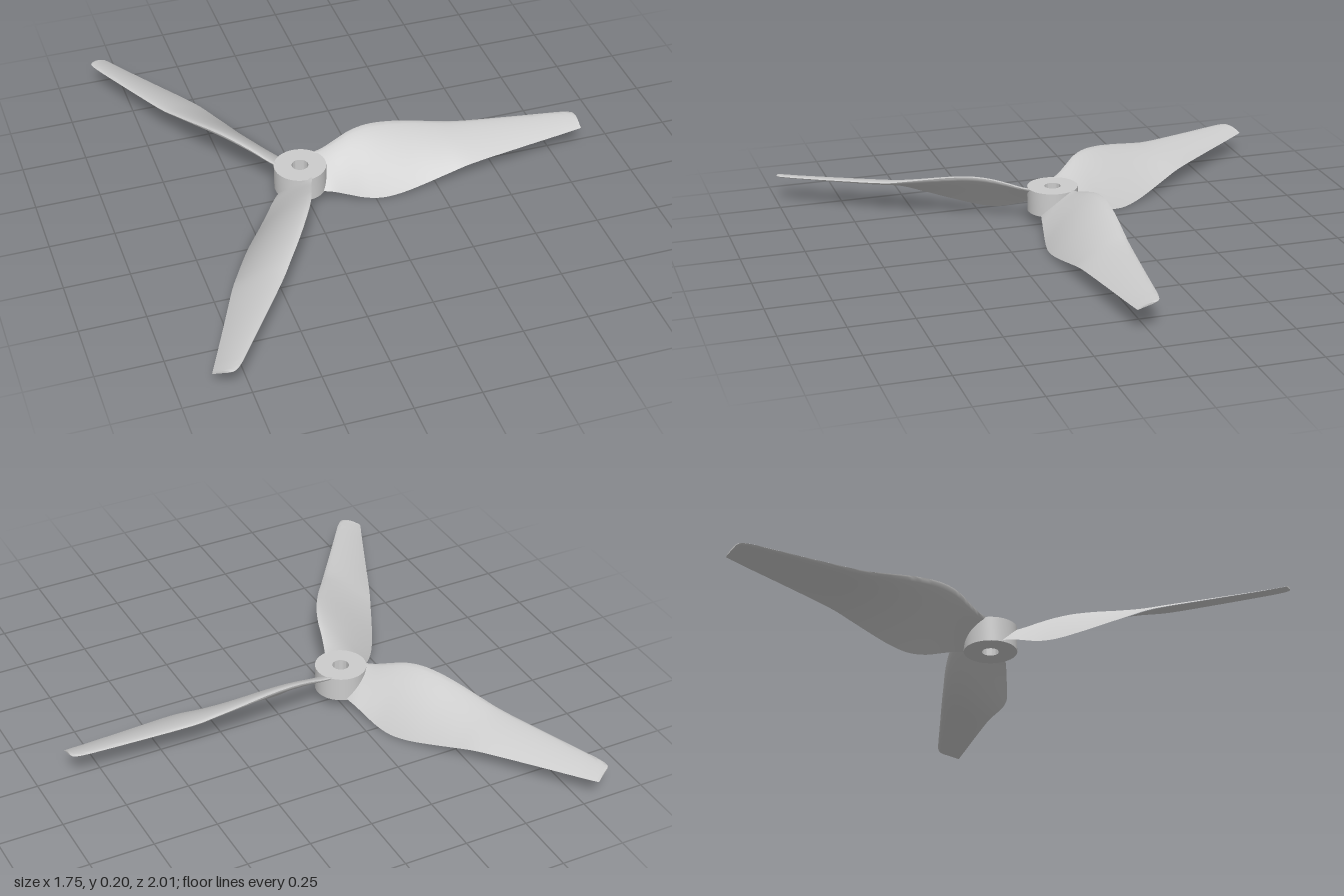
import * as THREE from 'three';
import { toCreasedNormals } from 'three/addons/utils/BufferGeometryUtils.js';

const HUB_X = -0.27;
const material = new THREE.MeshStandardMaterial({ color: 0xcccccc });

// Blade stations: radius, trailing edge (y, z), leading edge (y, z)
const stations = [
  [0.06, 0.055, 0.066, 0.145, -0.062],
  [0.11, 0.047, 0.078, 0.153, -0.07],
  [0.17, 0.027, 0.09, 0.172, -0.083],
  [0.23, 0.008, 0.102, 0.189, -0.098],
  [0.30, 0.0, 0.113, 0.196, -0.107],
  [0.38, 0.008, 0.116, 0.19, -0.109],
  [0.47, 0.025, 0.112, 0.175, -0.106],
  [0.57, 0.046, 0.105, 0.155, -0.098],
  [0.67, 0.064, 0.097, 0.138, -0.09],
  [0.87, 0.075, 0.075, 0.126, -0.07],
  [1.04, 0.083, 0.057, 0.118, -0.053],
  [1.09, 0.086, 0.052, 0.116, -0.047],
  [1.12, 0.088, 0.049, 0.114, -0.04],
  [1.135, 0.089, 0.047, 0.113, -0.031],
  [1.14, 0.09, 0.046, 0.111, -0.018],
];

// Airfoil half-thickness and camber at chord fraction c from the leading edge
const thickness = (c) =>
  0.1 * 5 * (0.2969 * Math.sqrt(c) - 0.126 * c - 0.3516 * c * c + 0.2843 * c ** 3 - 0.1015 * c ** 4) + 0.004 * c;
const camber = (c) => 0.14 * c * (1 - c);

function bladeGeometry() {
  const trailing = new THREE.CatmullRomCurve3(stations.map((s) => new THREE.Vector3(s[0], s[1], s[2])));
  const leading = new THREE.CatmullRomCurve3(stations.map((s) => new THREE.Vector3(s[0], s[3], s[4])));
  trailing.curveType = leading.curveType = 'catmullrom';
  const rows = 56, half = 12, n = half * 2;
  const positions = [], index = [];

  // Loft: over the top from trailing to leading edge, then back underneath
  for (let i = 0; i <= rows; i++) {
    const te = trailing.getPoint(i / rows);
    const le = leading.getPoint(i / rows);
    const chord = te.clone().sub(le);
    const up = new THREE.Vector3(0, chord.z, -chord.y);
    for (let j = 0; j <= n; j++) {
      const c = (1 + Math.cos((j / half) * Math.PI)) / 2;
      const side = j <= half ? 1 : -1;
      const p = le.clone().addScaledVector(chord, c).addScaledVector(up, camber(c) + side * thickness(c));
      positions.push(p.x, p.y, p.z);
    }
  }
  const row = n + 1;
  for (let i = 0; i < rows; i++) {
    for (let j = 0; j < n; j++) {
      const a = i * row + j, d = a + row;
      index.push(a, d, a + 1, d, d + 1, a + 1);
    }
  }
  // Tip cap
  const tip = rows * row;
  for (let k = 0; k < half; k++) {
    const u = tip + k, l = tip + n - k;
    index.push(u, l, u + 1, u + 1, l, l - 1);
  }
  const geometry = new THREE.BufferGeometry();
  geometry.setAttribute('position', new THREE.Float32BufferAttribute(positions, 3));
  geometry.setIndex(index);
  return toCreasedNormals(geometry, 0.7);
}

export function createModel() {
  const propeller = new THREE.Group();
  propeller.name = 'propeller';
  propeller.position.x = HUB_X;

  // Hub: a ring with a shaft hole
  const ring = [[0.032, 0.05], [0.1, 0.05], [0.1, 0.147], [0.032, 0.147], [0.032, 0.05]];
  const hubGeometry = new THREE.LatheGeometry(ring.map(([r, y]) => new THREE.Vector2(r, y)), 48);
  const hub = new THREE.Mesh(toCreasedNormals(hubGeometry, 0.6), material);
  hub.name = 'hub';
  propeller.add(hub);

  // Three twisted blades
  const geometry = bladeGeometry();
  for (let i = 0; i < 3; i++) {
    const blade = new THREE.Mesh(geometry, material);
    blade.name = `blade${i + 1}`;
    blade.rotation.y = (i * Math.PI * 2) / 3;
    propeller.add(blade);
  }

  const model = new THREE.Group();
  model.name = 'model';
  model.add(propeller);
  return model;
}
